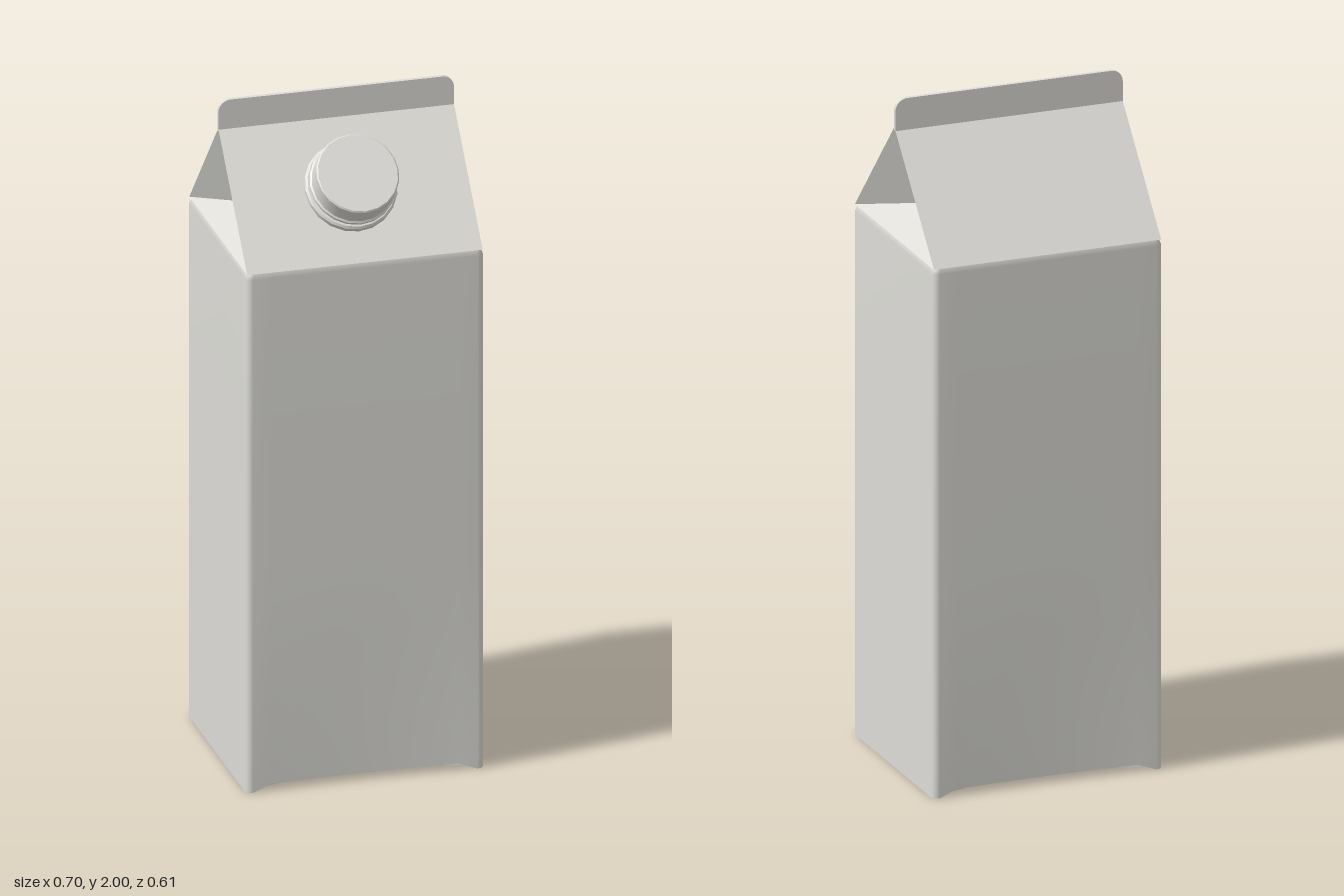
import * as THREE from 'three';
import { toCreasedNormals } from 'three/addons/utils/BufferGeometryUtils.js';

const W = 0.35, D = 0.305;        // half width and half depth
const EAVE = 1.585, RIDGE = 1.915, TOP = 2;

const card = new THREE.MeshStandardMaterial({ color: 0xdddcd7, side: THREE.DoubleSide });
card.name = 'off-white card';

function part(name, geometry, parent) {
  const mesh = new THREE.Mesh(geometry, card);
  mesh.name = name;
  parent.add(mesh);
  return mesh;
}

// Flat convex panel; corners run counter-clockwise seen from outside
function panel(...corners) {
  const pos = [];
  for (let i = 1; i < corners.length - 1; i++) pos.push(...corners[0], ...corners[i], ...corners[i + 1]);
  const g = new THREE.BufferGeometry();
  g.setAttribute('position', new THREE.Float32BufferAttribute(pos, 3));
  g.computeVertexNormals();
  return g;
}

// Rounded rectangle outline in x and z, with extra points along the wide sides
function outline(r) {
  const pts = [];
  const centres = [[1, 1], [-1, 1], [-1, -1], [1, -1]];
  centres.forEach(([sx, sz], c) => {
    for (let i = 0; i <= 4; i++) {
      const a = (c + i / 4) * Math.PI / 2;
      pts.push([sx * (W - r) + r * Math.cos(a), sz * (D - r) + r * Math.sin(a)]);
    }
    if (c % 2 === 0) {
      for (let i = 1; i < 12; i++) pts.push([sx * (W - r) * (1 - i / 6), sz * D]);
    }
  });
  return pts;
}

// Four walls: the wide ones sink in slightly near the base and their lower edge lifts
function wallGeometry() {
  const ring = outline(0.02), n = ring.length;
  const levels = [0, 0.08, 0.18, 0.3, 0.45, 0.65, 1.1, 1.57, EAVE];
  const pos = [], index = [];
  levels.forEach((y, l) => {
    const inset = l === levels.length - 1 ? 0.985 : 1;
    for (const [x, z] of ring) {
      const wide = Math.abs(z) > D - 0.001 && Math.abs(x) < W - 0.03;
      const sink = wide ? 0.012 * Math.max(0, 1 - y / 0.65) * Math.cos(x * Math.PI / (2 * W)) : 0;
      const lift = wide && l === 0 ? 0.02 : 0;
      pos.push(x * inset, y + lift, (z - Math.sign(z) * sink) * inset);
    }
  });
  for (let l = 0; l < levels.length - 1; l++) {
    for (let i = 0; i < n; i++) {
      const a = l * n + i, b = l * n + (i + 1) % n;
      index.push(a, a + n, b, b, a + n, b + n);
    }
  }
  const g = new THREE.BufferGeometry();
  g.setAttribute('position', new THREE.Float32BufferAttribute(pos, 3));
  g.setIndex(index);
  g.computeVertexNormals();
  return g;
}

export function createModel() {
  const carton = new THREE.Group();
  carton.name = 'carton';

  part('walls', wallGeometry(), carton);

  // Sloping roof panels
  const ex = 0.346, ez = 0.301;
  const roof = panel([-ex, EAVE, ez], [ex, EAVE, ez], [ex, RIDGE, 0], [-ex, RIDGE, 0]);
  part('frontRoof', roof, carton);
  part('backRoof', roof, carton).rotation.y = Math.PI;

  // Gable ends folded inward: a low triangle and two flaps meeting at one point
  const fold = [W - 0.13, 1.672, 0], peak = [ex, RIDGE, 0];
  const front = [ex, EAVE, ez], back = [ex, EAVE, -ez];
  for (const side of [1, -1]) {
    const gable = new THREE.Group();
    gable.name = side > 0 ? 'leftGable' : 'rightGable';
    gable.rotation.y = side > 0 ? 0 : Math.PI;
    part('lowerFold', panel(front, back, fold), gable);
    part('frontFold', panel(front, fold, peak), gable);
    part('backFold', panel(back, peak, fold), gable);
    carton.add(gable);
  }

  // Sealed fin along the ridge, with rounded upper corners
  const r = 0.035, fin = new THREE.Shape();
  fin.moveTo(-ex, RIDGE - 0.01);
  fin.lineTo(ex, RIDGE - 0.01);
  fin.lineTo(ex, TOP - r);
  fin.absarc(ex - r, TOP - r, r, 0, Math.PI / 2);
  fin.lineTo(-ex + r, TOP);
  fin.absarc(-ex + r, TOP - r, r, Math.PI / 2, Math.PI);
  const finGeo = new THREE.ExtrudeGeometry(fin, { depth: 0.012, bevelEnabled: false, curveSegments: 6 });
  finGeo.translate(0, 0, -0.009);
  part('topFin', finGeo, carton);

  // Base panel with two tapered flaps beneath it
  const bx = 0.345, bz = 0.293, by = 0.021;
  part('basePanel', panel([-bx, by, -bz], [bx, by, -bz], [bx, by, bz], [-bx, by, bz]), carton);
  for (const side of [1, -1]) {
    const flap = new THREE.Shape([[0.345, -0.29], [0.345, 0.29], [0.03, 0.19], [0.03, -0.19]]
      .map(([x, z]) => new THREE.Vector2(side * x, z)));
    const g = new THREE.ExtrudeGeometry(flap, { depth: 0.018, bevelEnabled: false });
    g.rotateX(Math.PI / 2).translate(0, 0.02, 0);
    part(side > 0 ? 'leftBaseFlap' : 'rightBaseFlap', g, carton);
  }

  // Spout flange and screw cap, standing square to the front slope
  const spout = new THREE.Group();
  spout.name = 'spout';
  spout.position.set(0, 1.755, 0.148);
  spout.rotation.x = Math.atan2(RIDGE - EAVE, D);
  const lathe = pts => toCreasedNormals(
    new THREE.LatheGeometry(pts.map(([x, y]) => new THREE.Vector2(x, y)), 20), 0.6);
  part('flange', lathe([[0.134, -0.005], [0.134, 0.014], [0.128, 0.02], [0.1, 0.02]]), spout);
  part('cap', lathe([[0.115, 0.015], [0.115, 0.026], [0.126, 0.03], [0.126, 0.04], [0.121, 0.044],
    [0.12, 0.106], [0.116, 0.11], [0, 0.11]]), spout);
  carton.add(spout);

  return carton;
}
